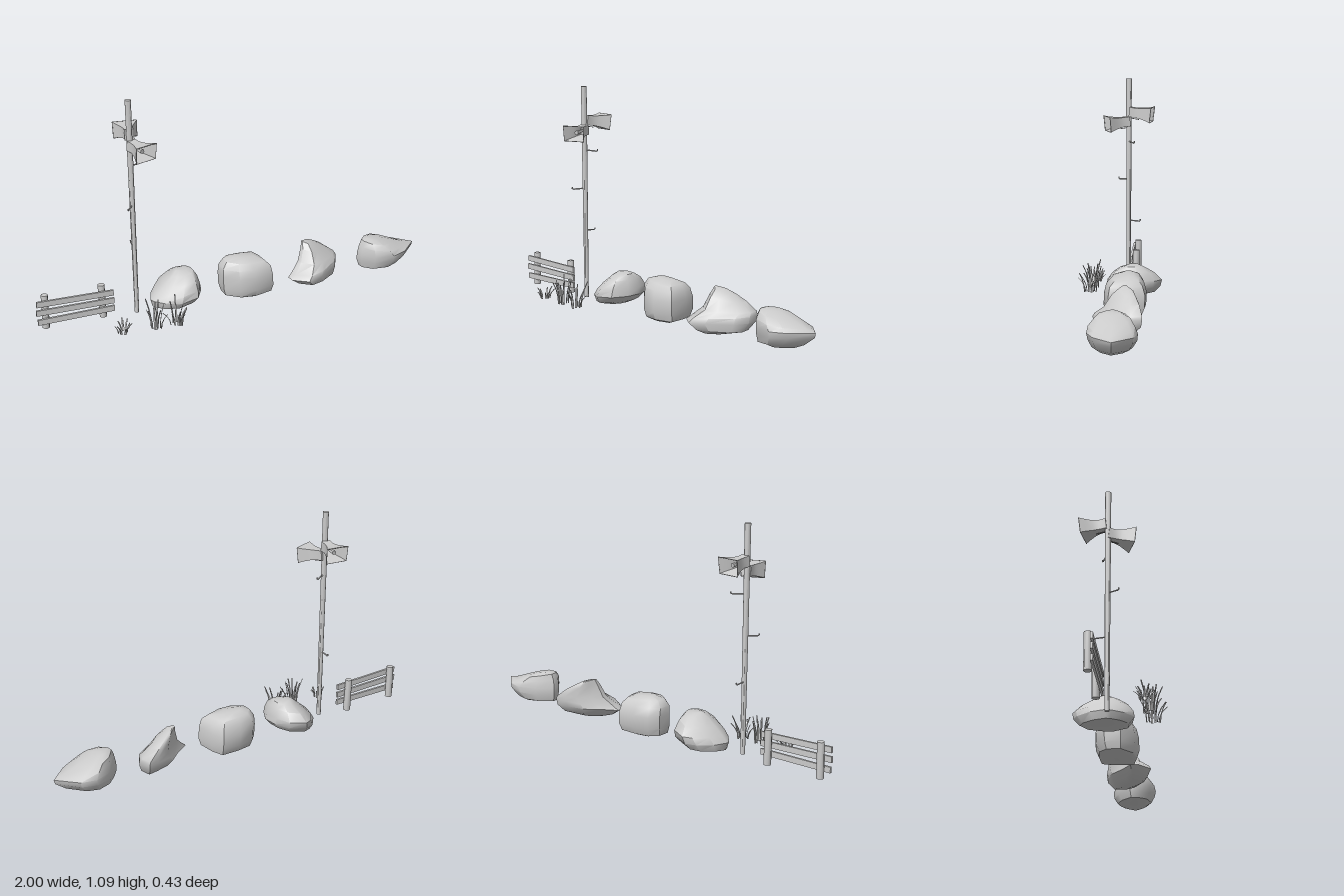
import * as THREE from 'three';
import { toCreasedNormals } from 'three/addons/utils/BufferGeometryUtils.js';

const grey = new THREE.MeshStandardMaterial({ color: 0xcccccc, side: THREE.DoubleSide });
const V = (x, y, z) => new THREE.Vector3(x, y, z);

let seed = 7;
const rand = () => (seed = (seed * 16807) % 2147483647) / 2147483647;

function add(parent, name, geometry) {
  const mesh = new THREE.Mesh(geometry, grey);
  mesh.name = name;
  parent.add(mesh);
  return mesh;
}

function group(parent, name) {
  const g = new THREE.Group();
  g.name = name;
  parent.add(g);
  return g;
}

// Tapered round bar between two points
function bar(parent, name, a, b, ra, rb, sides = 8) {
  const dir = b.clone().sub(a);
  const geo = new THREE.CylinderGeometry(rb, ra, dir.length(), sides);
  const mesh = add(parent, name, toCreasedNormals(geo, 1));
  mesh.position.copy(a).add(b).multiplyScalar(0.5);
  mesh.quaternion.setFromUnitVectors(V(0, 1, 0), dir.normalize());
  return mesh;
}

// Closed loft through loops of points; loops run bottom to top
function loft(loops, capped) {
  const n = loops[0].length, pos = [], index = [];
  loops.forEach(loop => loop.forEach(p => pos.push(p.x, p.y, p.z)));
  for (let r = 0; r < loops.length - 1; r++) {
    for (let i = 0; i < n; i++) {
      const a = r * n + i, b = r * n + (i + 1) % n;
      index.push(a, a + n, b, b, a + n, b + n);
    }
  }
  if (capped) {
    [0, loops.length - 1].forEach(r => {
      const c = loops[r].reduce((s, p) => s.add(p), V(0, 0, 0)).divideScalar(n);
      const k = pos.length / 3;
      pos.push(c.x, c.y, c.z);
      for (let i = 0; i < n; i++) {
        const a = r * n + i, b = r * n + (i + 1) % n;
        if (r) index.push(k, b, a); else index.push(k, a, b);
      }
    });
  }
  const geo = new THREE.BufferGeometry();
  geo.setAttribute('position', new THREE.Float32BufferAttribute(pos, 3));
  geo.setIndex(index);
  return geo;
}

// Rock: plan outline [x, z] fitted into rings [y, x0, x1, z0, z1, slope along x]
function rock(parent, name, outline, rings) {
  const xs = outline.map(p => p[0]), zs = outline.map(p => p[1]);
  const [ax, bx, az, bz] = [Math.min(...xs), Math.max(...xs), Math.min(...zs), Math.max(...zs)];
  const loops = rings.map(([y, x0, x1, z0, z1, slope = 0]) => outline.map(([x, z]) => {
    const u = (x - ax) / (bx - ax), w = (z - az) / (bz - az);
    return V(x0 + u * (x1 - x0), y + slope * (u - 0.5), z0 + w * (z1 - z0));
  }));
  add(parent, name, toCreasedNormals(loft(loops, true), 0.75));
}

// Rectangular horn speaker opening along local +z
function horn(parent, name, position, yaw, pitch) {
  const g = group(parent, name);
  g.position.copy(position);
  g.rotation.set(pitch, yaw, 0, 'YXZ');
  const sections = [[0, 0.022, 0.025], [0.03, 0.02, 0.024], [0.06, 0.028, 0.027], [0.088, 0.042, 0.032], [0.113, 0.055, 0.038]];
  const rect = ([z, w, h]) => [V(-w, -h, z), V(-w * 1.04, h, z), V(w * 1.04, h, z), V(w, -h, z)];
  add(g, 'hornShell', toCreasedNormals(loft(sections.map(rect), false), 0.6));
  add(g, 'hornBack', new THREE.BoxGeometry(0.044, 0.05, 0.004));
  // thin rim around the mouth
  const m = rect([0.113, 0.055, 0.038]);
  m.forEach((p, i) => bar(g, 'hornRim', p, m[(i + 1) % 4], 0.002, 0.002, 4));
  bar(g, 'hornDriver', V(0, 0, 0), V(0, 0, 0.085), 0.006, 0.011);
  bar(g, 'hornBracket', V(0, -0.031, -0.01), V(0, -0.033, 0.05), 0.002, 0.002, 4);
}

// Clump of blunt, flat blades fanning outward
function grass(parent, x, z, count, height, spread) {
  const g = group(parent, 'grassClump');
  g.position.set(x, 0.012, z);
  for (let i = 0; i < count; i++) {
    const a = i * 2.4 + rand() * 0.6, r = spread * (0.25 + 0.4 * rand());
    const h = height * (0.5 + 0.5 * rand()), lean = spread * (0.2 + 0.6 * rand());
    const geo = new THREE.BoxGeometry(0.009, h, 0.003, 1, 3, 1).translate(0, h / 2, 0);
    const p = geo.attributes.position;
    for (let k = 0; k < p.count; k++) {
      const t = p.getY(k) / h;
      p.setX(k, p.getX(k) * (1 - 0.45 * t));
      p.setZ(k, p.getZ(k) + lean * t * t);
    }
    geo.computeVertexNormals();
    const blade = add(g, 'grassBlade', geo);
    blade.position.set(Math.sin(a) * r, 0, Math.cos(a) * r);
    blade.rotation.y = a;
  }
}

export function createModel() {
  const model = new THREE.Group();
  model.name = 'roadsideScene';

  // Fence: two round posts and three uneven rails
  const fence = group(model, 'fence');
  bar(fence, 'fencePost', V(-0.952, 0.006, -0.06), V(-0.952, 0.176, -0.062), 0.018, 0.017);
  bar(fence, 'fencePost', V(-0.67, 0.006, -0.06), V(-0.675, 0.174, -0.062), 0.018, 0.017);
  [[0.138, -0.81, 0.375, -0.02], [0.095, -0.81, 0.38, -0.012], [0.05, -0.807, 0.375, 0.012]].forEach(([y, x, len, tilt]) => {
    const rail = add(fence, 'fenceRail', new THREE.BoxGeometry(len, 0.028, 0.011));
    rail.position.set(x, y, -0.039);
    rail.rotation.set(0, -0.01, tilt);
  });

  // Pole with climbing hooks
  const pole = group(model, 'pole');
  bar(pole, 'poleShaft', V(-0.511, 0.012, -0.029), V(-0.521, 1.09, -0.029), 0.011, 0.0145, 12);
  [[0.77, 0.06, -0.03], [0.575, -0.037, 0.052], [0.36, 0.004, -0.058]].forEach(([y, dx, dz]) => {
    const a = V(-0.516, y, -0.029), b = V(-0.516 + dx, y - 0.004, -0.029 + dz);
    const hook = new THREE.CatmullRomCurve3([a, a.clone().lerp(b, 0.8), b, b.clone().add(V(dx * 0.03, 0.01, dz * 0.03))]);
    add(pole, 'poleHook', new THREE.TubeGeometry(hook, 10, 0.0035, 6));
  });

  // Two horn speakers facing opposite ways
  horn(pole, 'frontHorn', V(-0.514, 0.873, -0.028), 0.34, 0.1);
  horn(pole, 'backHorn', V(-0.517, 0.921, -0.036), Math.PI - 0.14, 0.12);

  // Grass clumps
  grass(model, -0.635, 0.14, 12, 0.06, 0.042);
  grass(model, -0.482, 0.155, 11, 0.15, 0.05);
  grass(model, -0.375, 0.16, 10, 0.13, 0.05);

  // Rocks: plan outlines in order round the stone, then rings from the ground up
  rock(model, 'leaningRock',
    [[-.435, -.05], [-.41, -.12], [-.355, -.185], [-.305, -.207], [-.22, -.17], [-.187, -.1], [-.183, -.02], [-.225, .053], [-.315, .07], [-.385, .027], [-.427, -.025]],
    [[.02, -.38, -.24, -.12, .02, .012], [.028, -.425, -.21, -.17, .05, .025], [.062, -.435, -.183, -.2, .073, .02], [.095, -.41, -.187, -.207, .067, .02],
      [.135, -.37, -.2, -.17, .04, .03], [.166, -.325, -.215, -.12, .0, .015], [.178, -.3, -.24, -.09, -.04]]);
  rock(model, 'roundRock',
    [[-.065, -.09], [-.025, -.132], [.055, -.143], [.15, -.138], [.172, -.07], [.18, .035], [.08, .06], [.0, .045], [-.065, -.015]],
    [[.003, -.02, .14, -.1, .03], [.014, -.055, .172, -.125, .05], [.05, -.064, .18, -.14, .062], [.11, -.066, .177, -.143, .06],
      [.155, -.066, .168, -.13, .05], [.183, -.045, .145, -.11, .025, -.01], [.197, 0, .105, -.08, -.02, -.008]]);
  rock(model, 'ledgeRock',
    [[.275, 0], [.35, -.05], [.415, -.107], [.5, -.13], [.56, -.14], [.575, -.07], [.54, -.005], [.43, .07], [.35, .095], [.28, .04]],
    [[.006, .38, .47, -.05, .04], [.025, .32, .555, -.1, .075], [.06, .276, .575, -.135, .096, .01], [.085, .3, .577, -.14, .085, .02],
      [.115, .345, .57, -.14, .04, -.01], [.165, .366, .515, -.125, .005, -.03], [.195, .375, .47, -.105, -.03, -.035], [.205, .39, .43, -.085, -.05, -.012]]);
  rock(model, 'taperedRock',
    [[.68, -.035], [.75, -.1], [.835, -.133], [.91, -.117], [1, -.03], [.91, .053], [.83, .083], [.735, .06], [.685, .005]],
    [[.024, .75, .89, -.08, .04], [.038, .69, .94, -.11, .065, .015], [.075, .68, .995, -.13, .08, .025], [.104, .68, 1, -.133, .086, .008],
      [.13, .688, .955, -.12, .08, -.028], [.158, .7, .88, -.1, .055, -.03], [.176, .725, .8, -.06, .015, -.01]]);

  return model;
}
